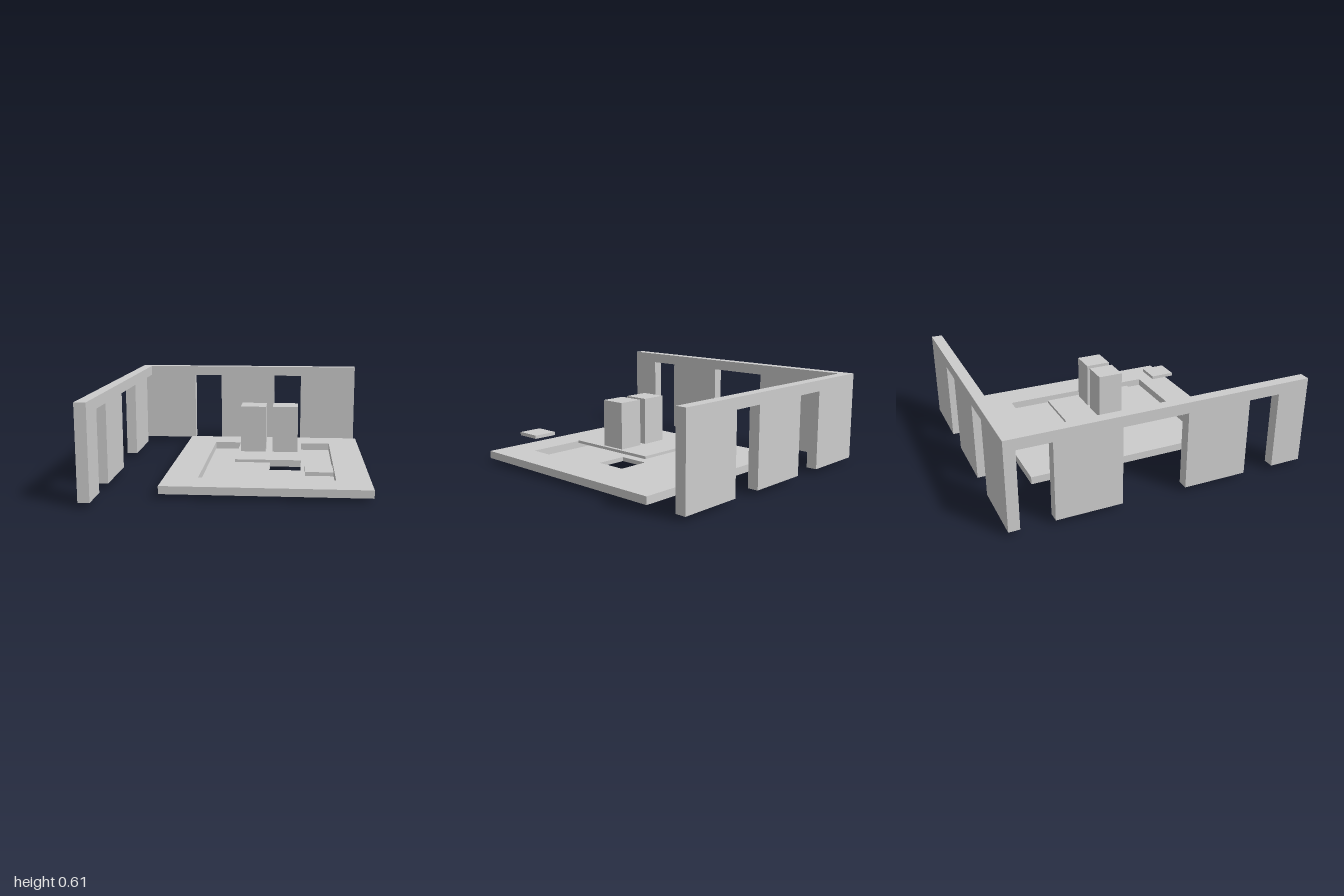
import * as THREE from 'three';

const U = 1 / 14; // plan module
const Y = { base: 0.029, floor: 0.079, lintel: 0.543, top: 0.614 };

const stone = new THREE.MeshStandardMaterial({ color: 0xcccccc });
stone.name = 'pale grey';

function add(parent, name, geometry) {
  const mesh = new THREE.Mesh(geometry, stone);
  mesh.name = name;
  parent.add(mesh);
  return mesh;
}

// Box given by its minimum and maximum corners
function block(parent, name, [x0, y0, z0], [x1, y1, z1]) {
  const geometry = new THREE.BoxGeometry(x1 - x0, y1 - y0, z1 - z0);
  geometry.translate((x0 + x1) / 2, (y0 + y1) / 2, (z0 + z1) / 2);
  return add(parent, name, geometry);
}

// Wall outline along u, notched from below by the doorways
function wallGeometry(u0, u1, doors, thickness) {
  const shape = new THREE.Shape();
  shape.moveTo(u0, Y.top);
  shape.lineTo(u0, Y.base);
  for (const [a, b] of doors) {
    shape.lineTo(a, Y.base);
    shape.lineTo(a, Y.lintel);
    shape.lineTo(b, Y.lintel);
    if (b < u1) shape.lineTo(b, Y.base);
  }
  if (doors[doors.length - 1][1] < u1) shape.lineTo(u1, Y.base);
  shape.lineTo(u1, Y.top);
  shape.closePath();
  return new THREE.ExtrudeGeometry(shape, { depth: thickness, bevelEnabled: false });
}

function rectangle(path, [x0, x1, z0, z1]) {
  path.moveTo(x0, -z1);
  path.lineTo(x1, -z1);
  path.lineTo(x1, -z0);
  path.lineTo(x0, -z0);
  path.closePath();
  return path;
}

// Horizontal plate with a rectangular opening; rectangles are [x0, x1, z0, z1]
function framedPlate(parent, name, outer, hole, y0, y1) {
  const shape = rectangle(new THREE.Shape(), outer);
  shape.holes.push(rectangle(new THREE.Path(), hole));
  const geometry = new THREE.ExtrudeGeometry(shape, { depth: y1 - y0, bevelEnabled: false });
  geometry.rotateX(-Math.PI / 2);
  geometry.translate(0, y0, 0);
  return add(parent, name, geometry);
}

export function createModel() {
  const model = new THREE.Group();
  model.name = 'courtyard';

  // Back wall with two doorways
  const back = wallGeometry(-12 * U, 12 * U, [[-6 * U, -3 * U], [3 * U, 6 * U]], U);
  back.translate(0, 0, -1);
  add(model, 'backWall', back);

  // Side wall with three doorways, the last one against the back wall
  const side = wallGeometry(-1, 13 * U,
    [[-11 * U, -8 * U], [-2 * U, 4 * U], [10 * U, 13 * U]], U);
  side.rotateY(Math.PI / 2);
  side.translate(-12 * U, 0, 0);
  add(model, 'sideWall', side);

  // Floor frame around a sunken panel pierced by a square opening
  const sunken = [-3 * U, 9 * U, -7 * U, 8 * U];
  framedPlate(model, 'floorFrame', [-6 * U, 12 * U, -10 * U, 11 * U], sunken, Y.base, Y.floor);
  framedPlate(model, 'sunkenFloor', sunken, [3 * U, 6 * U, -U, 2 * U], 0, Y.base);

  // Raised platform carrying two upright blocks
  block(model, 'platform', [0, 0.132, -4 * U], [6 * U, 0.15, 5 * U]);
  for (const [name, x] of [['rightBlock', 0.02], ['leftBlock', 0.235]]) {
    block(model, name, [x, 0.15, -0.05], [x + 0.17, 0.458, 0.119]);
  }

  // Small floating step near the front corner
  block(model, 'step', [0.448, 0.154, 0.591], [0.616, 0.177, 0.763]);

  return model;
}
